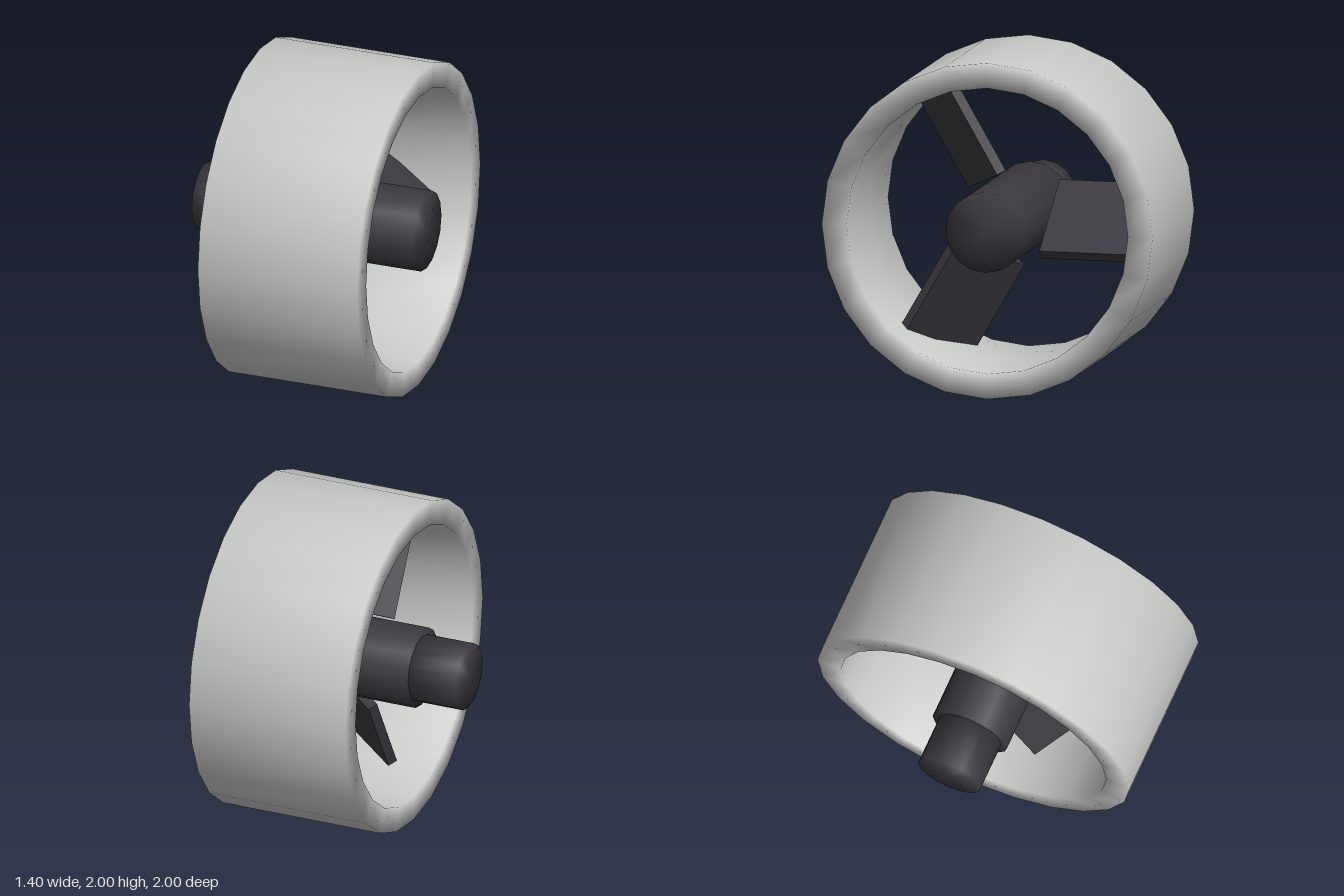
import * as THREE from 'three';

export function createModel() {
  const model = new THREE.Group();
  const paleGrey = new THREE.MeshStandardMaterial({ color: 0xc8cac8 });
  const charcoal = new THREE.MeshStandardMaterial({ color: 0x3a383e });
  paleGrey.name = 'paleGrey';
  charcoal.name = 'charcoal';

  // The fan turns about a line parallel to x, at height 1
  const fan = new THREE.Group();
  fan.name = 'ductedFan';
  fan.position.y = 1;
  model.add(fan);

  const add = (name, geometry, material) => {
    const mesh = new THREE.Mesh(geometry, material);
    mesh.name = name;
    fan.add(mesh);
    return mesh;
  };

  // Softly shaded turned part; profile points are [radius, x]
  const turned = (points, sides) =>
    new THREE.LatheGeometry(points.map(([r, x]) => new THREE.Vector2(r, x)), sides)
      .rotateZ(-Math.PI / 2);
  const drum = (radius, x0, x1) => turned([[0, x0], [radius, x0], [radius, x1], [0, x1]], 16);

  // Thick outer ring, open at both ends
  add('duct', turned([
    [0.85, 0.15], [0.85, -0.35], [1, -0.35], [1, 0.65], [0.85, 0.65], [0.85, 0.15],
  ], 24), paleGrey);

  // Hub with a narrower motor shaft behind it
  add('hub', drum(0.24, -0.4, 0.7), charcoal);
  add('shaft', drum(0.2, -0.7, -0.4), charcoal);

  // Three pitched blades whose tips sink into the duct
  const root = 0.255, tip = 0.9;
  const bladeGeometry = new THREE.BoxGeometry(0.06, 0.6, tip - root)
    .rotateZ(THREE.MathUtils.degToRad(55))
    .translate(0, 0, -(root + tip) / 2);
  for (let i = 0; i < 3; i++) {
    const blade = add(`blade${i + 1}`, bladeGeometry, charcoal);
    blade.position.x = 0.15;
    blade.rotation.x = (i * Math.PI * 2) / 3;
  }

  return model;
}
